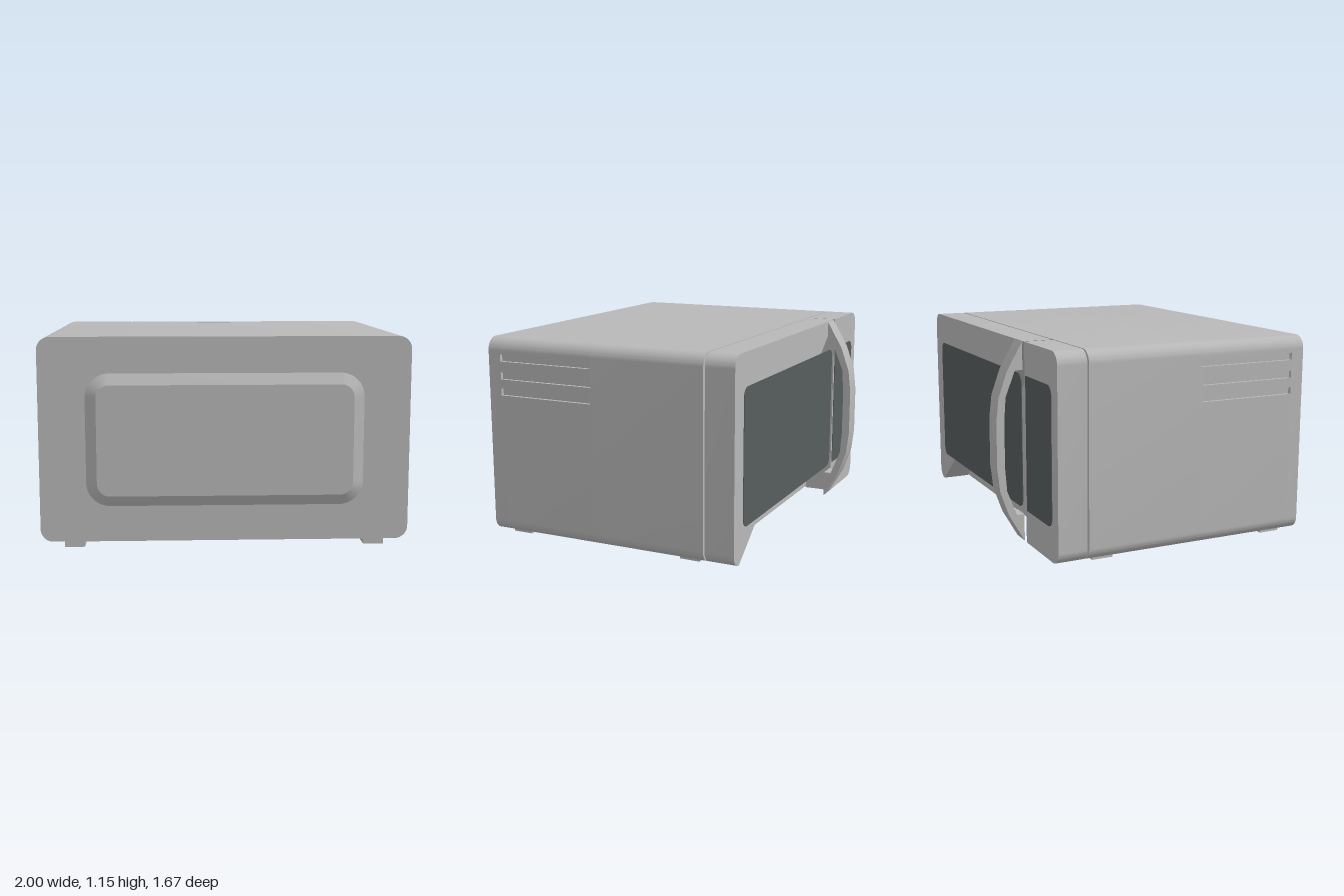
import * as THREE from 'three';
import { toCreasedNormals } from 'three/addons/utils/BufferGeometryUtils.js';

// Rectangle with separate corner radii at -x and +x, and optional side notches
function roundedRect(x0, x1, y0, y1, rLow, rHigh, notches = [], notchDepth = 0.02) {
  const s = new THREE.Shape();
  const corner = (cx, cy, r, a) => {
    if (r > 0) s.absarc(cx, cy, r, a, a + Math.PI / 2, false);
    else s.lineTo(cx, cy);
  };
  const notch = (x, dir, a, b) => {
    s.lineTo(x, a);
    s.lineTo(x - dir * notchDepth, a);
    s.lineTo(x - dir * notchDepth, b);
    s.lineTo(x, b);
  };
  s.moveTo(x0 + rLow, y0);
  corner(x1 - rHigh, y0 + rHigh, rHigh, -Math.PI / 2);
  for (const [a, b] of notches) notch(x1, 1, a, b);
  corner(x1 - rHigh, y1 - rHigh, rHigh, 0);
  corner(x0 + rLow, y1 - rLow, rLow, Math.PI / 2);
  for (const [a, b] of [...notches].reverse()) notch(x0, -1, b, a);
  if (rLow > 0) corner(x0 + rLow, y0 + rLow, rLow, Math.PI);
  s.closePath();
  return s;
}

export function createModel() {
  const model = new THREE.Group();
  model.name = 'microwaveOven';

  const casing = new THREE.MeshStandardMaterial({ color: 0xb8b8b8 });
  casing.name = 'casing grey';
  const glass = new THREE.MeshStandardMaterial({ color: 0x575c5c });
  glass.name = 'dark glass';

  const add = (name, geometry, material = casing, parent = model) => {
    const mesh = new THREE.Mesh(geometry, material);
    mesh.name = name;
    parent.add(mesh);
    return mesh;
  };
  // Extrusion of a shape between two z positions
  const slab = (shape, z0, z1) => {
    const g = new THREE.ExtrudeGeometry(shape, {
      depth: z1 - z0, bevelEnabled: false, curveSegments: 8,
    });
    return toCreasedNormals(g.translate(0, 0, z0), 0.6);
  };

  const bottom = 0.04, top = 1.15, radius = 0.07;

  // Body in three lengths, the middle one notched for the side vents
  const body = new THREE.Group();
  body.name = 'body';
  model.add(body);
  const plain = roundedRect(-1, 1, bottom, top, radius, radius);
  const vents = [[0.83, 0.87], [0.92, 0.96], [1.02, 1.06]];
  const vented = roundedRect(-1, 1, bottom, top, radius, radius, vents);
  add('bodyDoorEnd', slab(plain, -0.506, 0.155), casing, body);
  add('bodyVents', slab(vented, 0.155, 0.725), casing, body);
  add('bodyFarEnd', slab(plain, 0.725, 0.8), casing, body);

  // Raised panel with sloping edges
  const bulge = new THREE.ExtrudeGeometry(
    roundedRect(-0.69, 0.69, 0.295, 0.895, 0.07, 0.07),
    { depth: 0.01, bevelThickness: 0.035, bevelSize: 0.06, bevelSegments: 1, curveSegments: 8 },
  );
  add('raisedPanel', toCreasedNormals(bulge.translate(0, 0, 0.79), 0.4));

  // Recessed core in the seam behind the door
  add('seamCore', slab(roundedRect(-0.98, 0.98, bottom + 0.02, top - 0.02, 0.06, 0.06), -0.518, -0.5));

  // Door and control panel, with a narrow gap between them
  add('door', slab(roundedRect(-0.556, 1, bottom, top, 0, radius), -0.68, -0.515));
  add('controlPanel', slab(roundedRect(-1, -0.564, bottom, top, radius, 0), -0.68, -0.515));
  add('doorWindow', slab(roundedRect(-0.52, 0.885, 0.225, 0.97, 0.05, 0.05), -0.683, -0.679), glass);
  add('controlGlass', slab(roundedRect(-0.925, -0.58, 0.225, 0.97, 0.05, 0), -0.683, -0.679), glass);

  // Bowed handle: half profile (distance out, height from middle), mirrored
  const outer = [[0.835, 0.13], [0.82, 0.26], [0.77, 0.4], [0.682, 0.552]];
  const inner = [[0.682, 0.4], [0.725, 0.4], [0.78, 0.26], [0.79, 0.13]];
  const half = [...outer, ...inner];
  const middle = 0.595;
  const upper = half.map(([d, h]) => new THREE.Vector2(d, middle + h));
  const lower = half.map(([d, h]) => new THREE.Vector2(d, middle - h)).reverse();
  const handle = new THREE.ExtrudeGeometry(new THREE.Shape([...upper, ...lower]), {
    depth: 0.11, bevelEnabled: false,
  });
  handle.rotateY(Math.PI / 2).translate(-0.54, 0, 0);
  add('handle', toCreasedNormals(handle, 0.5));

  // Feet
  for (const x of [-0.82, 0.82]) {
    for (const z of [-0.37, 0.703]) {
      add('foot', new THREE.BoxGeometry(0.11, 0.05, 0.12)).position.set(x, 0.025, z);
    }
  }

  return model;
}
